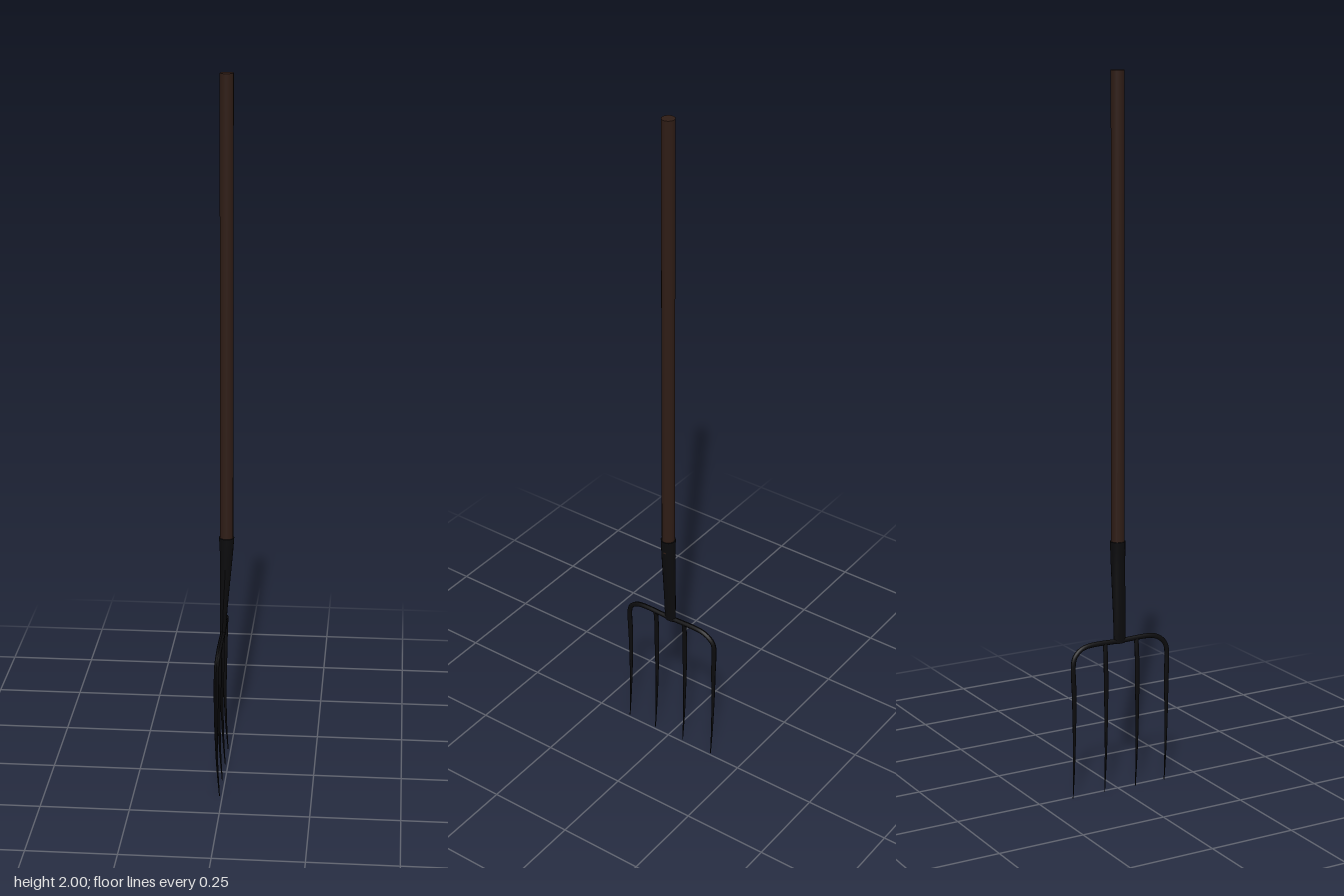
import * as THREE from 'three';

const { lerp, clamp } = THREE.MathUtils;
const wood = new THREE.MeshStandardMaterial({ color: 0x2e1c15 });
const iron = new THREE.MeshStandardMaterial({ color: 0x0b0b0d });

// Tube along the points, with its radius set by a function of the distance along it (0 to 1)
function taperedTube(points, segments, sides, radiusAt) {
  const curve = new THREE.CatmullRomCurve3(points.map(p => new THREE.Vector3(...p)), false, 'centripetal');
  const geometry = new THREE.TubeGeometry(curve, segments, 1, sides);
  const pos = geometry.attributes.position;
  const v = new THREE.Vector3();
  for (let i = 0; i <= segments; i++) {
    const centre = curve.getPointAt(i / segments);
    for (let j = 0; j <= sides; j++) {
      const k = i * (sides + 1) + j;
      v.fromBufferAttribute(pos, k).sub(centre).multiplyScalar(radiusAt(i / segments)).add(centre);
      pos.setXYZ(k, v.x, v.y, v.z);
    }
  }
  geometry.computeVertexNormals();
  return geometry;
}

// Curve shared by all tines, as x and y from the shoulder down to the tip
const tineProfile = [[-0.015, 0.40], [-0.017, 0.30], [-0.017, 0.19], [-0.014, 0.09], [-0.008, 0]];

function createHandle() {
  const geometry = new THREE.CylinderGeometry(0.0185, 0.0185, 1.32, 14);
  geometry.translate(0, 1.34, 0);
  return new THREE.Mesh(geometry, wood);
}

// Socket: round at the top, flattened and swept back to the crossbar at the bottom
function createSocket() {
  const top = 0.72, bottom = 0.43;
  const geometry = new THREE.CylinderGeometry(1, 1, top - bottom, 14, 12);
  geometry.translate(0, (top + bottom) / 2, 0);
  const pos = geometry.attributes.position;
  for (let i = 0; i < pos.count; i++) {
    const t = clamp((top - pos.getY(i)) / (top - bottom), 0, 1);
    const s = t * t * (3 - 2 * t);
    pos.setX(i, lerp(0, -0.01, s) + pos.getX(i) * lerp(0.0215, 0.008, Math.pow(t, 0.8)));
    pos.setZ(i, pos.getZ(i) * lerp(0.0215, 0.018, t));
  }
  geometry.computeVertexNormals();
  return new THREE.Mesh(geometry, iron);
}

// Crossbar and both outer tines, bent from one rod
function createOuterFork() {
  const side = z => [
    ...tineProfile.map(([x, y]) => [x, y, z * 0.148]).reverse(),
    [-0.013, 0.418, z * 0.138],
    [-0.011, 0.434, z * 0.112],
  ];
  const points = [...side(1), [-0.01, 0.436, 0], ...side(-1).reverse()];
  const radius = t => lerp(0.0012, 0.007, clamp(Math.min(t, 1 - t) / 0.28, 0, 1));
  return new THREE.Mesh(taperedTube(points, 120, 8, radius), iron);
}

function createInnerTine(z) {
  const points = [[-0.011, 0.436, z], ...tineProfile.map(([x, y]) => [x, y, z])];
  const radius = t => lerp(0.0012, 0.0065, clamp((1 - t) / 0.7, 0, 1));
  return new THREE.Mesh(taperedTube(points, 40, 8, radius), iron);
}

export function createModel() {
  const model = new THREE.Group();
  model.name = 'pitchfork';
  const add = (mesh, name) => {
    mesh.name = name;
    model.add(mesh);
  };
  add(createHandle(), 'handle');
  add(createSocket(), 'socket');
  add(createOuterFork(), 'crossbarAndOuterTines');
  add(createInnerTine(0.053), 'innerTineLeft');
  add(createInnerTine(-0.047), 'innerTineRight');
  return model;
}
